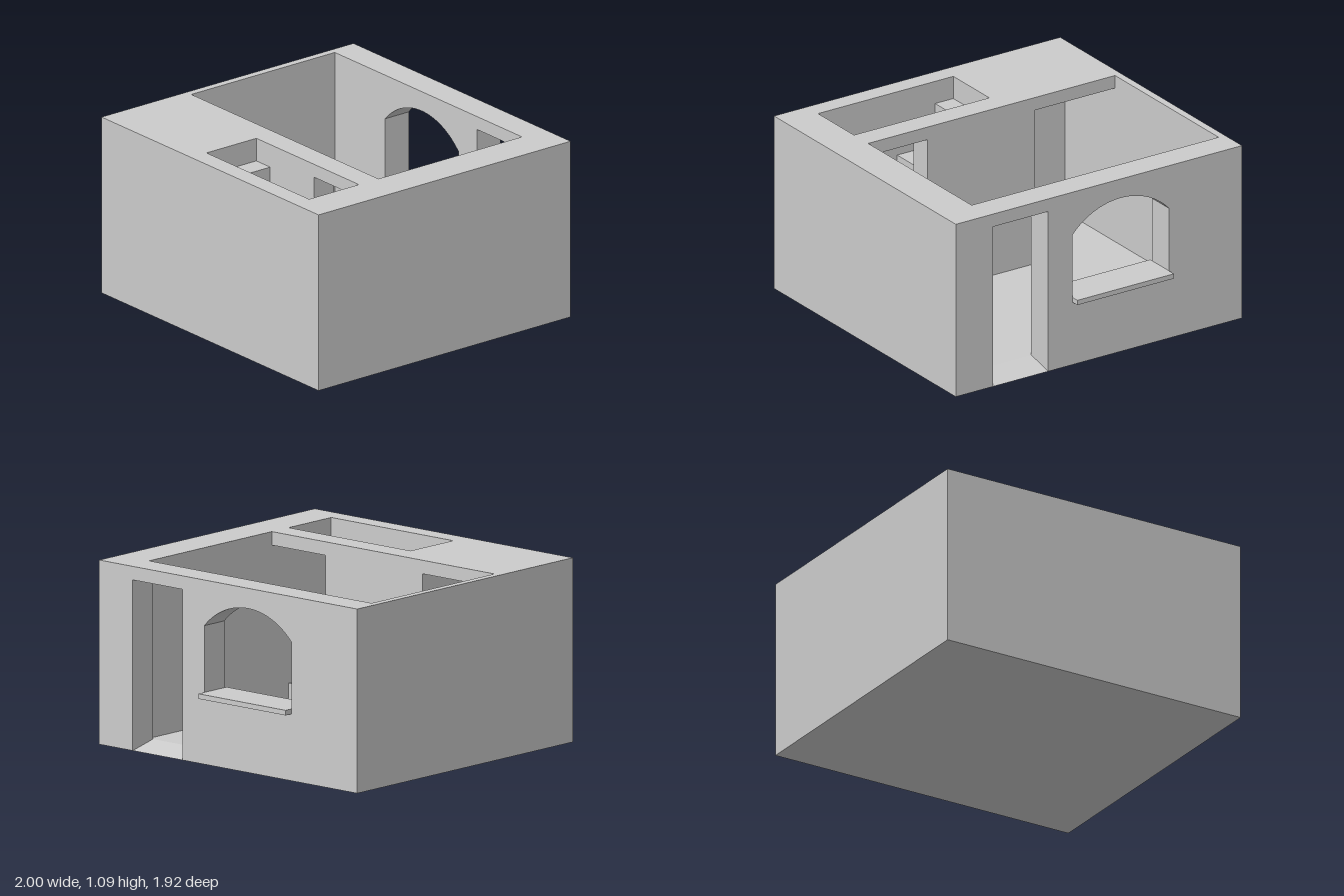
import * as THREE from 'three';

const material = new THREE.MeshStandardMaterial({ color: 0xcccccc });

// Key plan lines and levels
const BACK = -0.91, BACK_IN = -0.735, FRONT = 0.96;
const FLOOR = 0.04, CEILING = 1.01, TOP = 1.09;
const ROOM_L = 0.77, ROOM_R = -0.955, ROOM_F = 0.33;
const WELL_B = 0.475, WELL_F = 0.845, WELL_R = -0.175;
const DOOR_R = 0.354, DOOR_L = 0.74;

const toShape = (pts) => new THREE.Shape(pts.map(([x, y]) => new THREE.Vector2(x, y)));

function addMesh(group, name, geometry) {
  const mesh = new THREE.Mesh(geometry, material);
  mesh.name = name;
  group.add(mesh);
}

// Extrudes a plan outline given as [x, z] points between two heights
function plan(points, y0, y1, hole) {
  const flip = (pts) => pts.map(([x, z]) => [x, -z]);
  const shape = toShape(flip(points));
  if (hole) shape.holes.push(toShape(flip(hole)));
  const g = new THREE.ExtrudeGeometry(shape, { depth: y1 - y0, bevelEnabled: false });
  return g.rotateX(-Math.PI / 2).translate(0, y0, 0);
}

const rect = (x0, x1, z0, z1) => [[x0, z0], [x1, z0], [x1, z1], [x0, z1]];

// Back wall with a doorway notch and an arched window
function backWallGeometry() {
  const shape = toShape([
    [-1, 0], [DOOR_R, 0], [DOOR_R, CEILING], [DOOR_L, CEILING], [DOOR_L, 0],
    [1, 0], [1, TOP], [-1, TOP],
  ]);
  const cx = -0.1525, half = 0.3375, spring = 0.82, rise = 0.15;
  const r = (half * half + rise * rise) / (2 * rise);
  const a = Math.asin(half / r);
  const arch = new THREE.Path();
  arch.moveTo(cx - half, 0.395);
  arch.lineTo(cx + half, 0.395);
  arch.lineTo(cx + half, spring);
  arch.absarc(cx, spring + rise - r, r, Math.PI / 2 - a, Math.PI / 2 + a, false);
  arch.lineTo(cx - half, 0.395);
  shape.holes.push(arch);
  return new THREE.ExtrudeGeometry(shape, { depth: BACK_IN - BACK, bevelEnabled: false, curveSegments: 32 })
    .translate(0, 0, BACK);
}

export function createModel() {
  const model = new THREE.Group();
  model.name = 'house storey';

  addMesh(model, 'floorSlab', plan(rect(-1, 1, BACK_IN, FRONT), 0, FLOOR));
  addMesh(model, 'backWall', backWallGeometry());

  // Walls: main room, stairwell behind the partition, and a side closet
  addMesh(model, 'walls', plan([
    [-1, BACK_IN], [-1, FRONT], [1, FRONT], [1, BACK_IN],
    [ROOM_L, BACK_IN], [ROOM_L, WELL_F], [WELL_R, WELL_F], [WELL_R, WELL_B],
    [DOOR_R, WELL_B], [DOOR_R, ROOM_F], [-0.396, ROOM_F], [-0.396, WELL_F],
    [ROOM_R, WELL_F], [ROOM_R, BACK_IN],
  ], FLOOR, CEILING));

  // Upper slab, open over the room and over the stairs
  addMesh(model, 'upperSlab', plan([
    [-1, BACK_IN], [-1, FRONT], [1, FRONT], [1, BACK_IN],
    [ROOM_L, BACK_IN], [ROOM_L, ROOM_F], [ROOM_R, ROOM_F], [ROOM_R, BACK_IN],
  ], CEILING, TOP, rect(WELL_R, ROOM_L, WELL_B, WELL_F)));

  // Sloped threshold in the doorway, rising from outside to the floor
  const ramp = new THREE.ExtrudeGeometry(
    toShape([[-BACK, 0], [-BACK_IN, 0], [-BACK_IN, FLOOR]]),
    { depth: DOOR_L - DOOR_R, bevelEnabled: false },
  ).rotateY(Math.PI / 2).translate(DOOR_R, 0, 0);
  addMesh(model, 'doorRamp', ramp);

  // Window sill standing proud on both sides of the wall
  addMesh(model, 'windowSill', new THREE.BoxGeometry(0.675, 0.03, 0.245).translate(-0.1525, 0.41, -0.8375));

  // Stairs: three winders around the newel corner, then straight steps
  const stairs = new THREE.Group();
  stairs.name = 'stairs';
  model.add(stairs);
  const newel = [0.35, WELL_B];
  const treads = [
    [newel, [ROOM_L, WELL_B], [ROOM_L, 0.695], [DOOR_L, 0.695]],
    [newel, [DOOR_L, 0.695], [ROOM_L, 0.695], [ROOM_L, WELL_F], [0.565, WELL_F]],
    [newel, [0.565, WELL_F], [0.35, WELL_F]],
  ];
  const going = 0.1325;
  for (let i = 0; i < 4; i++) {
    const x = 0.35 - i * going;
    treads.push(rect(Math.max(x - going, WELL_R), x, WELL_B, WELL_F));
  }
  treads.forEach((outline, i) => {
    addMesh(stairs, `step${i + 1}`, plan(outline, FLOOR, FLOOR + 0.13 * (i + 1)));
  });

  return model;
}
